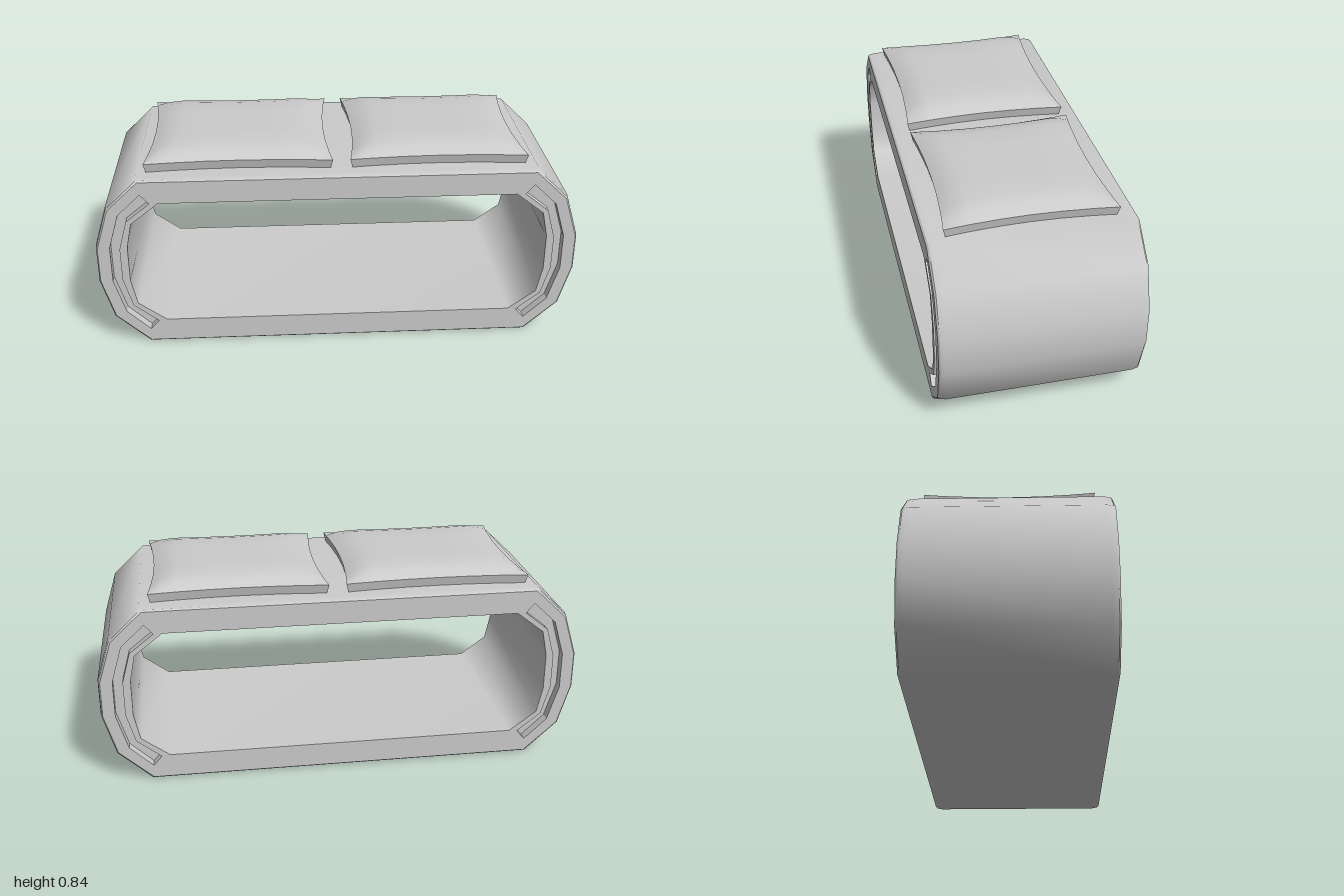
import * as THREE from 'three';
import { toCreasedNormals } from 'three/addons/utils/BufferGeometryUtils.js';

const HALF_DEPTH = 0.407, SLOT_DEPTH = 0.04, MID_Y = 0.3825;
const material = new THREE.MeshStandardMaterial({ color: 0xcccccc });

function part(name, geometry) {
  const mesh = new THREE.Mesh(geometry, material);
  mesh.name = name;
  return mesh;
}

// Right half of a loop, bottom to top, completed by mirroring in x (counter-clockwise)
const mirrorLoop = (half) => [...half, ...half.map(([x, y]) => [-x, y]).reverse()];

// Shrink a loop towards its centre by about d on every side
const inset = (loop, d) => loop.map(([x, y]) => [x * (1 - d), MID_Y + (y - MID_Y) * (1 - d / MID_Y)]);

// Skin through closed loops, ordered from back to front
function loft(rings, smooth = true) {
  const n = rings[0].loop.length, positions = [], index = [];
  for (const { loop, z } of rings) for (const [x, y] of loop) positions.push(x, y, z);
  for (let r = 0; r < rings.length - 1; r++) {
    for (let i = 0; i < n; i++) {
      const a = r * n + i, b = r * n + (i + 1) % n;
      index.push(a, b, b + n, a, b + n, a + n);
    }
  }
  let g = new THREE.BufferGeometry();
  g.setAttribute('position', new THREE.Float32BufferAttribute(positions, 3));
  g.setIndex(index);
  if (!smooth) g = g.toNonIndexed();
  g.computeVertexNormals();
  return g;
}

const toPath = (loop, Type) => new Type(loop.map(([x, y]) => new THREE.Vector2(x, y)));

const outer = mirrorLoop([[0.81, 0], [0.95, 0.13], [1, 0.305], [1, 0.46], [0.945, 0.64], [0.815, 0.765]]);
const inner = mirrorLoop([[0.73, 0.11], [0.845, 0.195], [0.868, 0.305], [0.868, 0.46], [0.845, 0.57], [0.73, 0.66]]);
const slot = [
  [0.80, 0.065], [0.895, 0.155], [0.94, 0.305], [0.94, 0.46], [0.895, 0.61], [0.80, 0.70],
  [0.765, 0.66], [0.865, 0.58], [0.90, 0.455], [0.90, 0.31], [0.865, 0.185], [0.765, 0.105],
];
const slots = [slot, slot.map(([x, y]) => [-x, y]).reverse()];

// One end face of the ring with its two recessed slots, facing +z
function endFace() {
  const group = new THREE.Group();
  const shape = toPath(inset(outer, 0.01), THREE.Shape);
  shape.holes.push(toPath(inner, THREE.Path), ...slots.map((s) => toPath(s, THREE.Path)));
  group.add(part('rimFace', new THREE.ShapeGeometry(shape).translate(0, 0, HALF_DEPTH)));
  group.add(part('rimBevel', loft([
    { loop: inset(outer, 0.004), z: 0.4 }, { loop: inset(outer, 0.01), z: HALF_DEPTH },
  ])));
  for (const s of slots) {
    const reversed = [...s].reverse(), floorZ = HALF_DEPTH - SLOT_DEPTH;
    group.add(part('slotWall', loft([{ loop: reversed, z: floorZ }, { loop: reversed, z: HALF_DEPTH }], false)));
    group.add(part('slotFloor', new THREE.ShapeGeometry(toPath(s, THREE.Shape)).translate(0, 0, floorZ)));
  }
  return group;
}

// Pillow pad with pinched sides, undercut base and a domed top
function padGeometry(width, depth) {
  const steps = [-1, -0.87, -0.7, -0.35, 0, 0.35, 0.7, 0.87, 1];
  const rise = (t) => (Math.abs(t) > 0.99 ? 0 : Math.abs(t) > 0.8 ? 0.68 : 1);
  const g = new THREE.BoxGeometry(8, 1, 8, 8, 1, 8);
  const p = g.attributes.position;
  for (let i = 0; i < p.count; i++) {
    const u = steps[Math.round(p.getX(i) + 4)], v = steps[Math.round(p.getZ(i) + 4)];
    const top = p.getY(i) > 0, under = top ? 0 : 0.01;
    p.setXYZ(i,
      u * (width / 2 - under - 0.025 * (1 - v * v)),
      top ? 0.803 + 0.037 * rise(u) * rise(v) : 0.762,
      v * (depth / 2 - under - 0.022 * (1 - u * u)));
  }
  return toCreasedNormals(g, 0.8);
}

export function createModel() {
  const model = new THREE.Group();
  model.name = 'padded ring';

  // Ring body
  const body = new THREE.Group();
  body.name = 'body';
  body.add(part('outerShell', loft([
    { loop: inset(outer, 0.004), z: -0.4 }, { loop: outer, z: -0.375 },
    { loop: outer, z: 0.375 }, { loop: inset(outer, 0.004), z: 0.4 },
  ])));
  const bore = [...inner].reverse();
  body.add(part('innerShell', loft([{ loop: bore, z: -HALF_DEPTH }, { loop: bore, z: HALF_DEPTH }])));
  const front = endFace(), back = endFace();
  front.name = 'frontFace';
  back.name = 'backFace';
  back.rotation.y = Math.PI;
  body.add(front, back);
  model.add(body);

  // Two pads on top
  for (const [name, x, width] of [['rightPad', -0.403, 0.765], ['leftPad', 0.415, 0.73]]) {
    const pad = part(name, padGeometry(width, 0.68));
    pad.position.x = x;
    model.add(pad);
  }
  return model;
}
